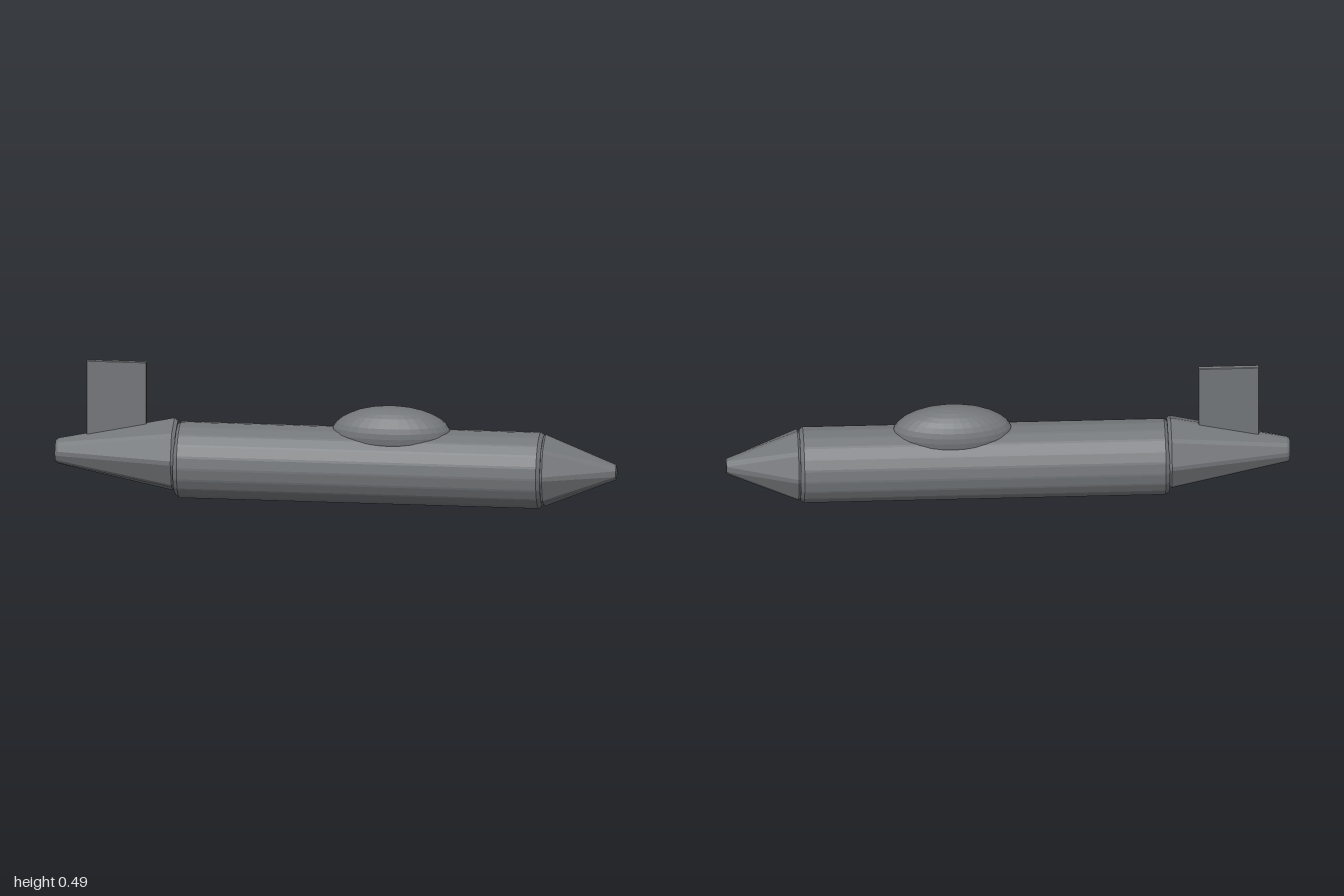
import * as THREE from 'three';

const paint = new THREE.MeshStandardMaterial({ color: 0x737679, flatShading: true });

// Faceted hull along x. Each station is [x, radius, half angle of the bevel on every corner].
function hull(name, sides, cy, stations) {
  const pos = [], index = [], n = sides * 2;
  for (const [x, r, d] of stations) {
    for (let k = 0; k < sides; k++) {
      const a = (k / sides) * Math.PI * 2;
      for (const s of [-1, 1]) {
        pos.push(x, cy + r * Math.cos(a + s * d), r * Math.sin(a + s * d));
      }
    }
  }
  for (let i = 0; i < stations.length - 1; i++) {
    for (let j = 0; j < n; j++) {
      const a = i * n + j, b = i * n + (j + 1) % n, c = a + n, e = b + n;
      if (stations[i][1] > 0) index.push(a, b, c);
      if (stations[i + 1][1] > 0) index.push(b, e, c);
    }
  }
  const indexed = new THREE.BufferGeometry();
  indexed.setAttribute('position', new THREE.Float32BufferAttribute(pos, 3));
  indexed.setIndex(index);
  const geometry = indexed.toNonIndexed();
  geometry.computeVertexNormals();
  const mesh = new THREE.Mesh(geometry, paint);
  mesh.name = name;
  return mesh;
}

export function createModel() {
  const model = new THREE.Group();
  model.name = 'fuselageModel';

  // Main tube with chamfered rims
  model.add(hull('body', 20, 0.136, [
    [-0.57, 0, 0.03], [-0.57, 0.125, 0.03], [-0.555, 0.136, 0.03],
    [0.727, 0.136, 0.03], [0.74, 0.125, 0.03], [0.74, 0, 0.03],
  ]));

  // Eight-sided nose cone
  model.add(hull('noseCone', 8, 0.137, [
    [0.735, 0, 0.06], [0.735, 0.12, 0.06], [0.747, 0.13, 0.06],
    [0.997, 0.028, 0.38], [1, 0.025, 0.38], [1, 0, 0.38],
  ]));

  // Eight-sided tail cone, set slightly higher than the body
  model.add(hull('tailCone', 8, 0.155, [
    [-1, 0, 0.2], [-1, 0.039, 0.2], [-0.99, 0.046, 0.17],
    [-0.577, 0.132, 0.06], [-0.565, 0.122, 0.06], [-0.565, 0, 0.06],
  ]));

  // Canopy bubble
  const canopy = new THREE.Mesh(new THREE.SphereGeometry(1, 32, 16), paint);
  canopy.name = 'canopy';
  canopy.scale.set(0.212, 0.097, 0.098);
  canopy.position.set(0.197, 0.257, 0);
  model.add(canopy);

  // Upright tail fin with slightly softened edges
  const w = 0.107, c = 0.002;
  const outline = new THREE.Shape();
  outline.moveTo(-w + c, 0.165);
  outline.lineTo(w - c, 0.165);
  outline.lineTo(w - c, 0.491 - c);
  outline.lineTo(-w + c, 0.491 - c);
  outline.closePath();
  const finGeometry = new THREE.ExtrudeGeometry(outline, {
    depth: 0.02 - 2 * c, bevelEnabled: true, bevelThickness: c, bevelSize: c, bevelSegments: 1,
  });
  finGeometry.translate(-0.783, 0, -0.01 + c);
  const fin = new THREE.Mesh(finGeometry, paint);
  fin.name = 'tailFin';
  model.add(fin);

  return model;
}
